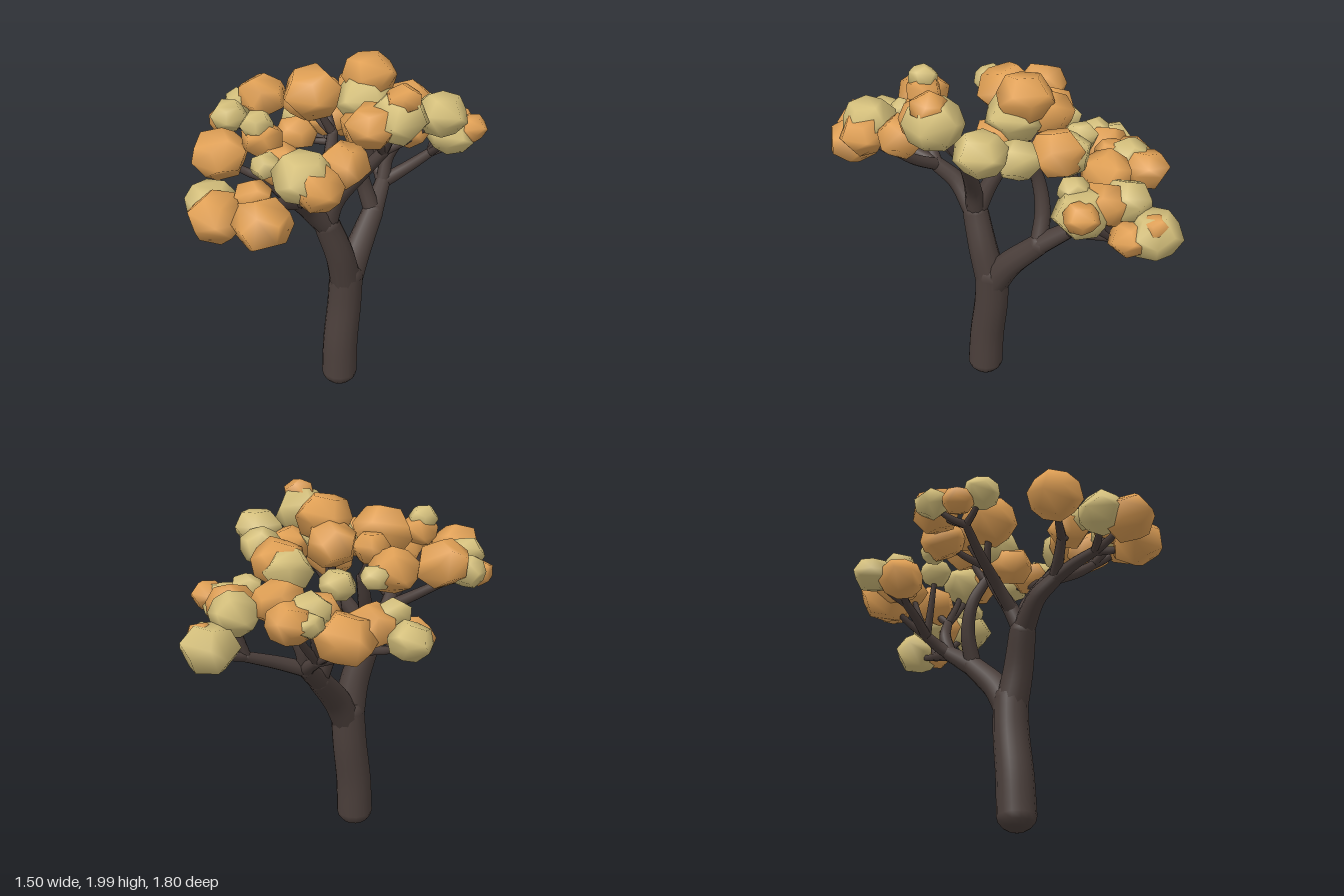
import * as THREE from 'three';
import { mergeVertices } from 'three/addons/utils/BufferGeometryUtils.js';

const material = (name, color) => Object.assign(new THREE.MeshStandardMaterial({ color }), { name });

// Tube along a smooth path, its radius shrinking from r0 to r1
function taperedTube(points, r0, r1, segments = 12, sides = 10) {
  const curve = new THREE.CatmullRomCurve3(points.map(p => new THREE.Vector3(...p)));
  const geo = new THREE.TubeGeometry(curve, segments, 1, sides, false);
  const pos = geo.attributes.position;
  const v = new THREE.Vector3();
  for (let i = 0; i <= segments; i++) {
    const c = curve.getPointAt(i / segments);
    const r = THREE.MathUtils.lerp(r0, r1, i / segments);
    for (let j = 0; j <= sides; j++) {
      const k = i * (sides + 1) + j;
      v.fromBufferAttribute(pos, k).sub(c).multiplyScalar(r).add(c);
      pos.setXYZ(k, v.x, v.y, v.z);
    }
  }
  return geo;
}

// Angular, slightly uneven and flattened leaf clump with soft shading
function clumpGeometry(r, seed) {
  const raw = new THREE.DodecahedronGeometry(r * 1.07);
  raw.deleteAttribute('normal');
  raw.deleteAttribute('uv');
  const geo = mergeVertices(raw, r * 0.01);
  const pos = geo.attributes.position;
  for (let i = 0; i < pos.count; i++) {
    const s = 1 + 0.03 * Math.sin(seed * 5.3 + i * 2.7);
    pos.setXYZ(i, pos.getX(i) * s, pos.getY(i) * s, pos.getZ(i) * s);
  }
  geo.rotateX(seed * 1.7).rotateY(seed * 2.3).scale(1, 0.88, 1);
  geo.computeVertexNormals();
  return geo;
}

export function createModel() {
  const tree = new THREE.Group();
  tree.name = 'tree';
  const bark = material('darkBark', 0x4b3f3b);
  const orange = material('orangeLeaves', 0xe0a055);
  const tan = material('tanLeaves', 0xd5c07c);

  function add(name, geo, mat) {
    const mesh = new THREE.Mesh(geo, mat);
    mesh.name = name;
    tree.add(mesh);
    return mesh;
  }

  // Rounded joint that hides the end of a tube
  function knot(p, r) {
    add('branchJoint', new THREE.SphereGeometry(r, 10, 8), bark).position.set(...p);
  }

  // Leaf clump, [x, y, z, radius], each shaped a little differently
  let count = 0;
  function clump([x, y, z, r], mat) {
    add('leafClump', clumpGeometry(r, ++count), mat).position.set(x, y, z);
  }

  // Limb with twigs reaching from its tip to the larger leaf clumps
  function limb(path, r0, r1, oranges = [], tans = []) {
    add('branch', taperedTube(path, r0, r1), bark);
    const tip = path[path.length - 1];
    knot(tip, r1);
    for (const c of [...oranges, ...tans]) {
      if (c[3] < 0.09) continue;
      const mid = [0, 1, 2].map(i => (tip[i] + c[i]) / 2);
      mid[1] -= 0.02;
      add('twig', taperedTube([tip, mid, c], Math.min(r1, 0.026), 0.013, 6, 7), bark);
    }
    oranges.forEach(c => clump(c, orange));
    tans.forEach(c => clump(c, tan));
  }

  // Trunk with a rounded foot
  add('trunk', taperedTube([[-0.025, 0.09, 0.04], [-0.02, 0.3, 0.03], [0, 0.55, 0.005], [0.01, 0.74, 0]], 0.105, 0.096, 12, 14), bark);
  const foot = add('trunkFoot', new THREE.SphereGeometry(0.105, 14, 8), bark);
  foot.position.set(-0.025, 0.09, 0.04);
  foot.scale.y = 0.8;
  knot([0.01, 0.74, 0], 0.096);

  // The two main limbs, the back one forking twice
  const frontFork = [-0.08, 1.1, 0.09];
  const backFork = [0.13, 1.02, -0.25];
  const midFork = [0.17, 1.14, -0.41];
  limb([[0.01, 0.68, 0], [-0.02, 0.9, 0.05], frontFork], 0.092, 0.074);
  limb([[0.01, 0.68, 0], [0.06, 0.84, -0.09], backFork], 0.088, 0.062);
  limb([backFork, [0.15, 1.08, -0.33], midFork], 0.06, 0.045);

  // Front limb: forward fork and its three sprays
  const forward = [-0.2, 1.34, 0.3];
  limb([frontFork, [-0.17, 1.25, 0.19], forward], 0.065, 0.042);
  limb([forward, [-0.25, 1.39, 0.42], [-0.3, 1.42, 0.54]], 0.04, 0.028,
    [[-0.27, 1.46, 0.76, 0.14], [-0.49, 1.47, 0.74, 0.135], [-0.34, 1.53, 0.64, 0.095]],
    [[-0.55, 1.48, 0.62, 0.12]]);
  limb([forward, [-0.1, 1.42, 0.41], [-0.03, 1.5, 0.49]], 0.035, 0.026,
    [[0.06, 1.64, 0.46, 0.125], [-0.03, 1.61, 0.67, 0.12]],
    [[-0.1, 1.65, 0.64, 0.14]]);
  limb([forward, [-0.28, 1.42, 0.34], [-0.34, 1.5, 0.37]], 0.035, 0.026,
    [[-0.56, 1.62, 0.38, 0.14], [-0.27, 1.6, 0.4, 0.115], [-0.35, 1.71, 0.37, 0.1]],
    [[-0.37, 1.78, 0.37, 0.08], [-0.31, 1.62, 0.48, 0.075]]);

  // Front limb: right-hand spray, crown spray and side spray
  limb([frontFork, [-0.03, 1.26, 0.1], [0.1, 1.43, 0.12], [0.22, 1.58, 0.15]], 0.055, 0.03,
    [[0.33, 1.68, 0.04, 0.115], [0.32, 1.91, 0.3, 0.09], [0.18, 1.79, 0.33, 0.125]],
    [[0.45, 1.7, -0.11, 0.11], [0.5, 1.76, 0.06, 0.125], [0.3, 1.82, 0.28, 0.145]]);
  limb([frontFork, [-0.09, 1.26, 0.02], [-0.09, 1.42, -0.07], [-0.08, 1.55, -0.12]], 0.055, 0.03,
    [[-0.18, 1.79, -0.08, 0.155], [-0.14, 1.74, -0.24, 0.095], [-0.26, 1.65, -0.33, 0.125]],
    [[-0.18, 1.63, -0.41, 0.075]]);
  limb([[-0.09, 1.22, 0.04], [-0.2, 1.36, -0.03], [-0.36, 1.46, -0.08], [-0.52, 1.55, -0.11]], 0.04, 0.022,
    [[-0.5, 1.68, -0.29, 0.135], [-0.67, 1.6, -0.11, 0.08]],
    [[-0.62, 1.64, -0.27, 0.09], [-0.61, 1.67, 0, 0.095]]);

  // Back limb: low outer spray
  limb([midFork, [0.3, 1.2, -0.49], [0.43, 1.26, -0.59]], 0.042, 0.028,
    [[0.51, 1.49, -0.52, 0.125], [0.66, 1.51, -0.4, 0.085], [0.6, 1.42, -0.76, 0.07], [0.59, 1.35, -0.64, 0.095]],
    [[0.56, 1.36, -0.76, 0.14], [0.47, 1.49, -0.64, 0.12], [0.55, 1.47, -0.41, 0.135], [0.47, 1.55, -0.38, 0.08]]);

  // Back limb: upright sprays
  limb([midFork, [0.19, 1.27, -0.45], [0.26, 1.39, -0.46]], 0.042, 0.028,
    [[0.32, 1.67, -0.31, 0.135], [0.27, 1.53, -0.56, 0.13]],
    [[0.26, 1.64, -0.36, 0.125]]);
  limb([backFork, [0.07, 1.2, -0.27], [0.04, 1.38, -0.24], [0.07, 1.54, -0.17]], 0.05, 0.03,
    [[0.05, 1.76, -0.28, 0.13], [0.11, 1.87, -0.16, 0.14], [0.1, 1.64, -0.02, 0.125]],
    [[0.09, 1.76, -0.11, 0.145]]);

  // Back limb: rear sprays
  const rear = [0.09, 1.23, -0.53];
  limb([midFork, [0.14, 1.18, -0.47], rear], 0.04, 0.03,
    [[-0.08, 1.42, -0.73, 0.145], [0.17, 1.5, -0.78, 0.115], [0.05, 1.52, -0.62, 0.095]],
    [[0.09, 1.54, -0.7, 0.1], [0, 1.6, -0.46, 0.09], [0.08, 1.5, -0.8, 0.07]]);
  limb([rear, [-0.05, 1.27, -0.54], [-0.18, 1.31, -0.56]], 0.03, 0.024,
    [[-0.36, 1.37, -0.53, 0.12], [-0.18, 1.45, -0.62, 0.13]],
    [[-0.37, 1.41, -0.69, 0.105], [-0.28, 1.5, -0.57, 0.085]]);

  return tree;
}
